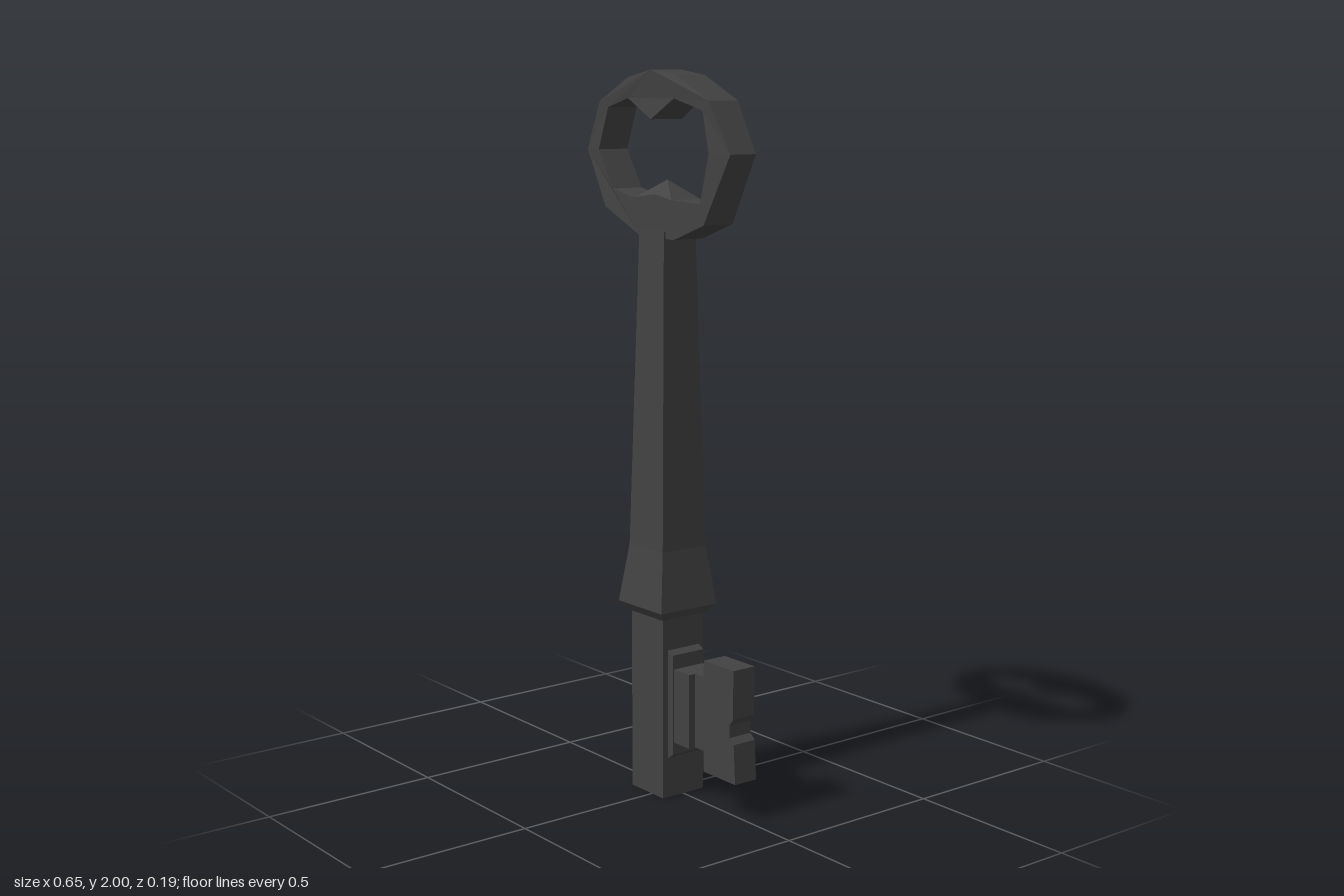
import * as THREE from 'three';

export function createModel() {
  const key = new THREE.Group();
  key.name = 'key';
  const iron = new THREE.MeshStandardMaterial({ color: 0x424242 });
  iron.name = 'dark iron';
  iron.flatShading = true;

  const CX = -0.02; // axis of the stem
  const points = list => list.map(([x, y]) => new THREE.Vector2(x, y));

  function add(name, geometry, x = 0, y = 0, z = 0) {
    const mesh = new THREE.Mesh(geometry, iron);
    mesh.name = name;
    mesh.position.set(x, y, z);
    key.add(mesh);
    return mesh;
  }
  function slab(outline, depth, hole) {
    const shape = new THREE.Shape(points(outline));
    if (hole) shape.holes.push(new THREE.Path(points(hole)));
    const g = new THREE.ExtrudeGeometry(shape, { depth, bevelEnabled: false });
    return g.translate(0, 0, -depth / 2);
  }
  // Square-section column from [half width, y] rings
  function squareColumn(profile) {
    const g = new THREE.LatheGeometry(points(profile.map(([h, y]) => [h * Math.SQRT2, y])), 4);
    return g.rotateY(Math.PI / 4).toNonIndexed();
  }

  // Bow: oval ring with a pointed tooth at the top of its opening
  const bow = slab(
    [[CX, 2], [-0.13, 1.98], [-0.26, 1.915], [-0.325, 1.785], [-0.235, 1.63], [-0.08, 1.56],
      [0.07, 1.555], [0.195, 1.6], [0.295, 1.785], [0.215, 1.92], [0.08, 1.985]],
    0.098,
    [[CX, 1.87], [0.07, 1.925], [0.19, 1.895], [0.215, 1.785], [0.18, 1.655], [0.06, 1.66],
      [CX, 1.672], [-0.11, 1.66], [-0.2, 1.68], [-0.265, 1.785], [-0.22, 1.9], [-0.13, 1.925]]
  );
  // The face swells slightly along the top centre and thins to the sides
  const p = bow.attributes.position;
  for (let i = 0; i < p.count; i++) {
    const x = p.getX(i), z = p.getZ(i);
    if (z > 0 && Math.abs(x - CX) < 0.01 && p.getY(i) > 1.8) p.setZ(i, 0.056);
    else if (Math.abs(x - CX) > 0.28) p.setZ(i, z * 0.87);
  }
  bow.computeVertexNormals();
  add('bow', bow);

  // Small pyramid where the stem ends inside the bow
  const tip = new THREE.ConeGeometry(Math.SQRT2, 0.05, 4, 1).rotateY(Math.PI / 4).scale(0.08, 1, 0.049);
  add('stemTip', tip, CX, 1.685, 0);

  // Tapered stem flaring into a collar, then the straight shaft
  add('stem', squareColumn([[0, 0.515], [0.078, 0.515], [0.097, 0.54], [0.075, 0.705], [0.054, 1.575], [0, 1.575]]), CX);
  add('shaft', squareColumn([[0, 0], [0.071, 0], [0.071, 0.525], [0, 0.525]]), CX);

  // Bit: root plate, two-step neck and notched blade
  add('bitRoot', slab([[0.04, 0.115], [0.052, 0.115], [0.073, 0.13], [0.073, 0.415], [0.052, 0.425], [0.04, 0.425]], 0.108));
  add('bitNeckInner', new THREE.BoxGeometry(0.08, 0.21, 0.1), 0.1, 0.27, 0);
  add('bitNeckOuter', new THREE.BoxGeometry(0.06, 0.21, 0.058), 0.165, 0.27, 0);
  add('bitBlade', slab([[0.187, 0.11], [0.322, 0.11], [0.315, 0.22], [0.297, 0.235], [0.297, 0.27],
    [0.312, 0.29], [0.312, 0.425], [0.187, 0.425]], 0.074));

  return key;
}
